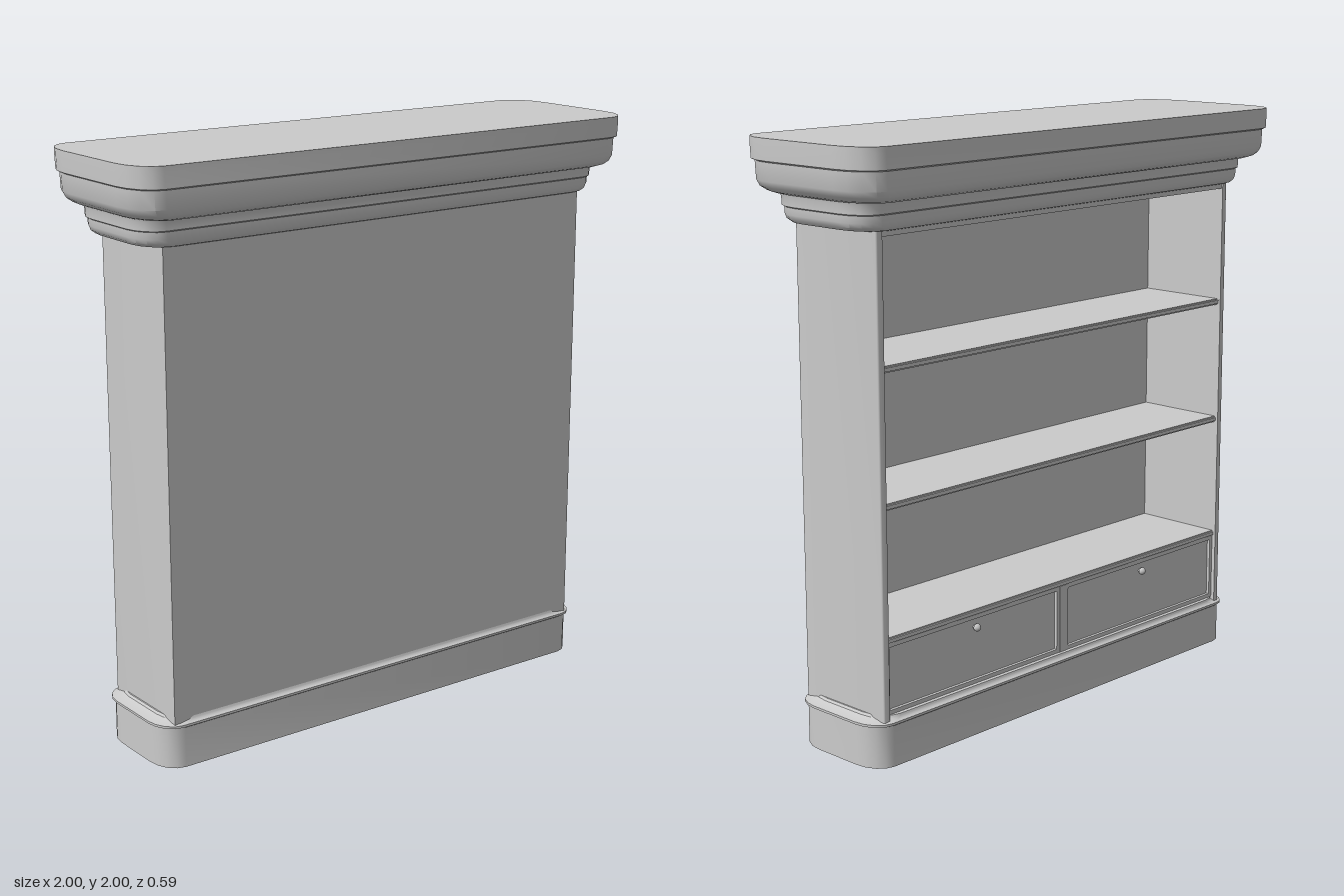
import * as THREE from 'three';
import { toCreasedNormals } from 'three/addons/utils/BufferGeometryUtils.js';

const material = new THREE.MeshStandardMaterial({ color: 0xcccccc });

function add(parent, name, geometry, x = 0, y = 0, z = 0) {
  const mesh = new THREE.Mesh(geometry, material);
  mesh.name = name;
  mesh.position.set(x, y, z);
  parent.add(mesh);
  return mesh;
}

// Plan outline: a rectangle with elliptical corners
function outline(hx, hz, rx, rz, segments = 4) {
  const points = [];
  const corners = [[1, 1], [-1, 1], [-1, -1], [1, -1]];
  corners.forEach(([sx, sz], q) => {
    for (let i = 0; i <= segments; i++) {
      const t = (q + i / segments) * Math.PI / 2;
      points.push([sx * (hx - rx) + rx * Math.cos(t), sz * (hz - rz) + rz * Math.sin(t)]);
    }
  });
  return points;
}

// Moulding: stacked outlines joined into a closed solid; levels are [y, halfX, halfZ]
function moulding(levels, rx, rz) {
  const rings = levels.map(([y, hx, hz]) => outline(hx, hz, rx, rz).map(([x, z]) => [x, y, z]));
  const n = rings[0].length;
  const last = rings.length - 1;
  const pos = [];
  const tri = (a, b, c) => pos.push(...a, ...b, ...c);
  for (let j = 0; j < n; j++) {
    const k = (j + 1) % n;
    for (let i = 0; i < last; i++) {
      const a = rings[i][j], b = rings[i][k], c = rings[i + 1][k], d = rings[i + 1][j];
      tri(a, d, c);
      tri(a, c, b);
    }
    tri([0, levels[0][0], 0], rings[0][j], rings[0][k]);
    tri([0, levels[last][0], 0], rings[last][k], rings[last][j]);
  }
  const g = new THREE.BufferGeometry();
  g.setAttribute('position', new THREE.Float32BufferAttribute(pos, 3));
  return toCreasedNormals(g, 0.6);
}

// Rectangular frame with an opening, extruded along z
function frame(w, h, border, depth) {
  const rect = (T, a, b) => {
    const s = new T();
    s.moveTo(-a, -b);
    s.lineTo(a, -b);
    s.lineTo(a, b);
    s.lineTo(-a, b);
    s.closePath();
    return s;
  };
  const shape = rect(THREE.Shape, w / 2, h / 2);
  shape.holes.push(rect(THREE.Path, w / 2 - border, h / 2 - border));
  return new THREE.ExtrudeGeometry(shape, { depth, bevelEnabled: false });
}

export function createModel() {
  const model = new THREE.Group();
  model.name = 'bookcase';

  // Plinth with a small lip and cove
  add(model, 'plinth', moulding([
    [0, 0.895, 0.193], [0.14, 0.895, 0.193], [0.144, 0.905, 0.199], [0.152, 0.905, 0.199],
    [0.156, 0.88, 0.191], [0.162, 0.865, 0.187], [0.17, 0.86, 0.185],
  ], 0.075, 0.1));

  // Side walls and closed panel as one U in plan, open ends rounded
  const W = 0.855, D = 0.185, T = 0.025, R = 0.01;
  const plan = new THREE.Shape();
  plan.moveTo(-W, -D);
  plan.lineTo(W, -D);
  plan.lineTo(W, D - R);
  plan.quadraticCurveTo(W, D, W - R, D);
  plan.lineTo(W - T, D);
  plan.lineTo(W - T, -D + T);
  plan.lineTo(-W + T, -D + T);
  plan.lineTo(-W + T, D);
  plan.lineTo(-W + R, D);
  plan.quadraticCurveTo(-W, D, -W, D - R);
  plan.closePath();
  const carcass = new THREE.ExtrudeGeometry(plan, { depth: 1.6, bevelEnabled: false, curveSegments: 4 });
  carcass.rotateX(-Math.PI / 2);
  add(model, 'carcass', toCreasedNormals(carcass, 0.6), 0, 0.14, 0);

  // Shelves with a slim nosing on the open edge
  for (const y of [0.43, 0.87, 1.31]) {
    add(model, 'shelf', new THREE.BoxGeometry(1.67, 0.022, 0.33), 0, y - 0.011, -0.005);
    add(model, 'shelfNosing', new THREE.BoxGeometry(1.67, 0.012, 0.006), 0, y - 0.011, -0.173);
  }

  // Top rail below the crown
  add(model, 'topRail', new THREE.BoxGeometry(1.67, 0.02, 0.02), 0, 1.723, -0.17);

  // Two drawers with raised borders and round knobs, split by a divider
  add(model, 'drawerDivider', new THREE.BoxGeometry(0.03, 0.24, 0.33), 0, 0.29, -0.008);
  for (const side of [-1, 1]) {
    const drawer = new THREE.Group();
    drawer.name = side > 0 ? 'leftDrawer' : 'rightDrawer';
    drawer.position.set(side * 0.4225, 0.29, 0);
    model.add(drawer);
    add(drawer, 'drawerBox', new THREE.BoxGeometry(0.815, 0.24, 0.31), 0, 0, -0.005);
    add(drawer, 'drawerBorder', frame(0.815, 0.24, 0.014, 0.012), 0, 0, -0.171);
    const knob = new THREE.LatheGeometry([
      [0, 0.026], [0.008, 0.024], [0.014, 0.016], [0.012, 0.009], [0.006, 0.006], [0.006, 0],
    ].reverse().map(([x, y]) => new THREE.Vector2(x, y)), 14);
    knob.rotateX(-Math.PI / 2);
    add(drawer, 'drawerKnob', knob, 0, 0.075, -0.16);
  }

  // Crown: stepped lower moulding, then the wide rounded cap
  add(model, 'lowerCrown', moulding([
    [1.73, 0.89, 0.185], [1.734, 0.912, 0.198], [1.745, 0.925, 0.206], [1.76, 0.93, 0.209],
    [1.783, 0.931, 0.21], [1.787, 0.937, 0.214], [1.815, 0.938, 0.215], [1.83, 0.942, 0.219],
  ], 0.08, 0.11));
  add(model, 'upperCrown', moulding([
    [1.825, 0.945, 0.25], [1.832, 0.962, 0.268], [1.845, 0.978, 0.28], [1.865, 0.987, 0.286],
    [1.925, 0.99, 0.287], [1.93, 0.998, 0.296], [1.98, 1, 0.297], [2, 1, 0.297],
  ], 0.09, 0.14));

  return model;
}
